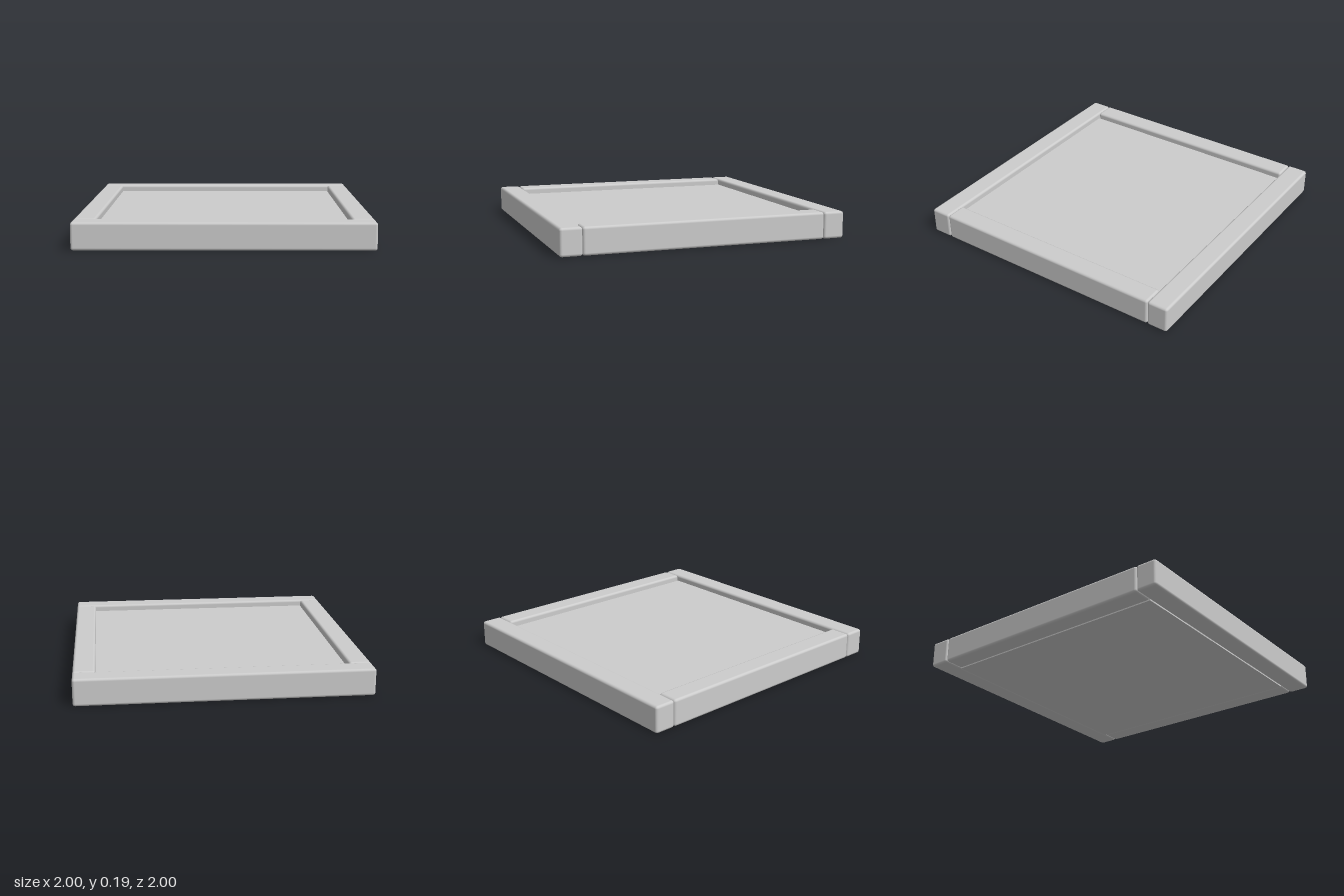
import * as THREE from 'three';
import { RoundedBoxGeometry } from 'three/addons/geometries/RoundedBoxGeometry.js';

export function createModel() {
  const model = new THREE.Group();
  model.name = 'framedPanel';

  const grey = new THREE.MeshStandardMaterial({ color: 0xcccccc });
  grey.name = 'light grey';

  const half = 1;          // half of the outer side
  const railWidth = 0.15;
  const railHeight = 0.187;
  const panelHeight = 0.14;
  const bevel = 0.018;
  const inner = 2 * (half - railWidth);

  function add(name, geometry, x, y, z) {
    const mesh = new THREE.Mesh(geometry, grey);
    mesh.name = name;
    mesh.position.set(x, y, z);
    model.add(mesh);
  }

  // Full-length front and back rails, with side rails fitted between them
  const longRail = new RoundedBoxGeometry(2 * half, railHeight, railWidth, 2, bevel);
  const sideRail = new RoundedBoxGeometry(railWidth, railHeight, inner, 2, bevel);
  const offset = half - railWidth / 2;
  for (const side of [1, -1]) {
    add(side > 0 ? 'frontRail' : 'backRail', longRail, 0, railHeight / 2, side * offset);
    add(side > 0 ? 'leftRail' : 'rightRail', sideRail, side * offset, railHeight / 2, 0);
  }

  // Sunken panel, flush with the underside of the rails
  add('panel', new THREE.BoxGeometry(inner, panelHeight, inner), 0, panelHeight / 2, 0);

  return model;
}
